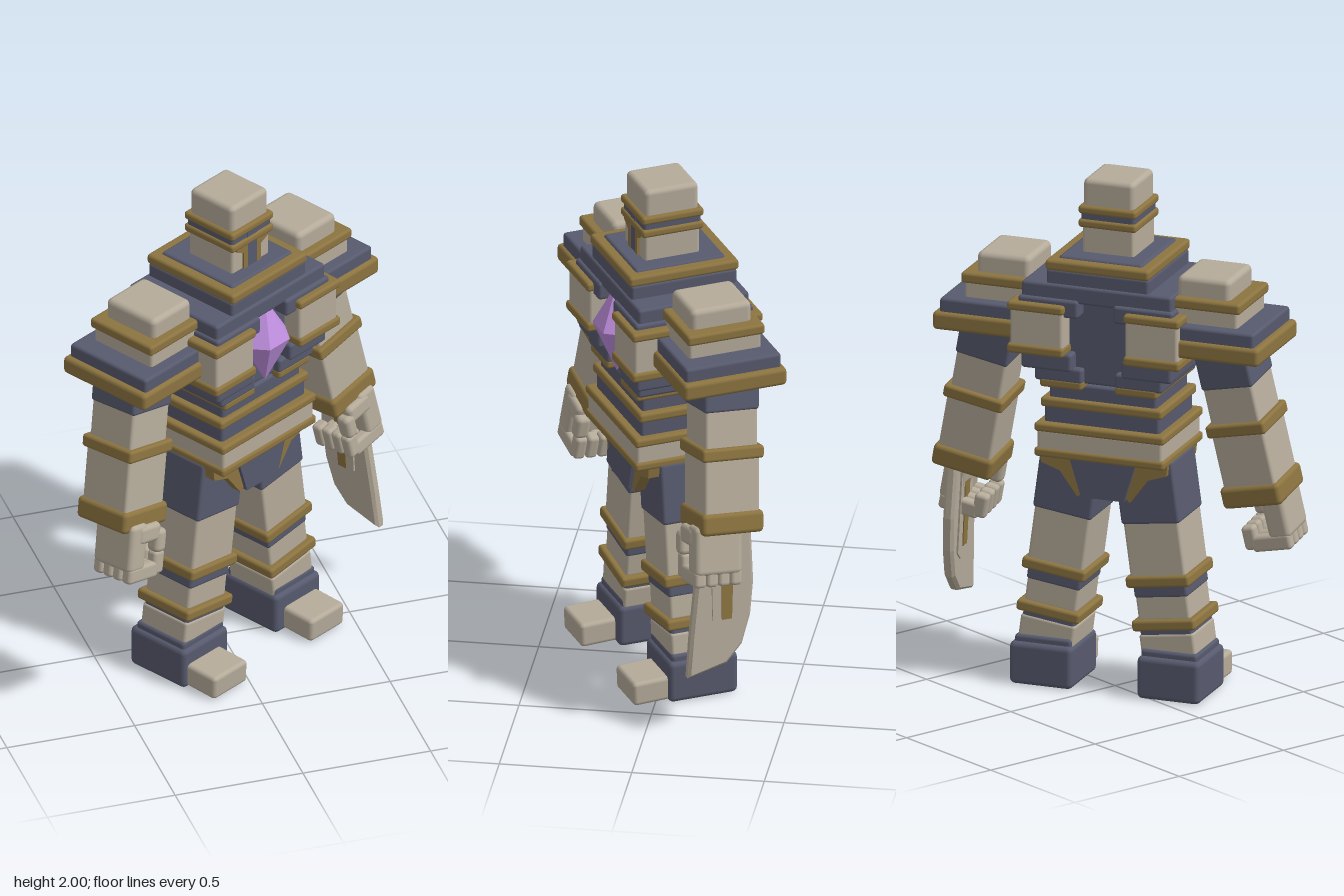
import * as THREE from 'three';
import { RoundedBoxGeometry } from 'three/addons/geometries/RoundedBoxGeometry.js';

function material(name, color) {
  const m = new THREE.MeshStandardMaterial({ color });
  m.name = name;
  return m;
}

export function createModel() {
  const stone = material('pale stone', 0xb5ab9a);
  const slate = material('slate', 0x575a6e);
  const gold = material('dull gold', 0x8c7440);
  const violet = material('violet crystal', 0xc08fdf);

  const model = new THREE.Group();
  model.name = 'stoneGolem';
  const body = new THREE.Group();
  body.name = 'body';
  body.rotation.y = Math.PI / 6;
  model.add(body);

  function add(parent, name, geometry, mat) {
    const mesh = new THREE.Mesh(geometry, mat);
    mesh.name = name;
    parent.add(mesh);
    return mesh;
  }
  // Rounded block given by its ranges; x may be given in either order
  function block(parent, name, mat, [x0, x1], [y0, y1], [z0, z1], r = 0.012) {
    const size = [Math.abs(x1 - x0), y1 - y0, z1 - z0];
    const geo = new RoundedBoxGeometry(...size, 2, Math.min(r, Math.min(...size) * 0.4));
    const mesh = add(parent, name, geo, mat);
    mesh.position.set((x0 + x1) / 2, (y0 + y1) / 2, (z0 + z1) / 2);
    return mesh;
  }
  // Block centred on x and on a given z
  const slab = (parent, name, mat, hx, y, hz, cz = 0, r) =>
    block(parent, name, mat, [-hx, hx], y, [cz - hz, cz + hz], r);
  // Flat outline pushed along z
  function plate(parent, name, mat, points, z0, z1) {
    const shape = new THREE.Shape(points.map(p => new THREE.Vector2(...p)));
    const geo = new THREE.ExtrudeGeometry(shape, { depth: z1 - z0, bevelEnabled: false });
    geo.translate(0, 0, z0);
    return add(parent, name, geo, mat);
  }

  // Head
  const hz = 0.036;
  slab(body, 'face', stone, 0.103, [1.68, 1.83], 0.11, hz);
  slab(body, 'browRecess', slate, 0.108, [1.81, 1.88], 0.115, hz);
  slab(body, 'lowerBrowBand', gold, 0.116, [1.812, 1.845], 0.124, hz);
  slab(body, 'upperBrowBand', gold, 0.116, [1.865, 1.898], 0.124, hz);
  slab(body, 'crown', stone, 0.102, [1.88, 2.0], 0.108, hz, 0.02);
  plate(body, 'visorSlot', slate, [[-0.026, 1.7], [0.026, 1.7], [0.026, 1.87], [-0.026, 1.87]], hz + 0.108, hz + 0.117);
  for (const s of [-1, 1]) {
    plate(body, 'visorTrim', gold,
      [[0.026, 1.705], [0.046, 1.705], [0.046, 1.785], [0.085, 1.805], [0.085, 1.825], [0.026, 1.825]].map(([x, y]) => [x * s, y]),
      hz + 0.11, hz + 0.119);
  }

  // Collar and chest
  const cz = 0.027;
  slab(body, 'neckBase', slate, 0.168, [1.66, 1.715], 0.18, cz);
  slab(body, 'collar', gold, 0.207, [1.665, 1.706], 0.219, cz);
  slab(body, 'upperChest', slate, 0.205, [1.6, 1.67], 0.212, cz);
  slab(body, 'chestStep', slate, 0.3, [1.545, 1.615], 0.222, cz);
  slab(body, 'chestCore', slate, 0.24, [1.22, 1.6], 0.175, cz);
  for (const s of [-1, 1]) {
    const x = (a, b) => [a * s, b * s];
    const z = h => [cz - h, cz + h];
    block(body, 'recessCorner', slate, x(0.07, 0.31), [1.49, 1.56], z(0.236));
    block(body, 'panelTopBand', gold, x(0.12, 0.345), [1.505, 1.54], z(0.262));
    block(body, 'chestPanel', stone, x(0.125, 0.335), [1.36, 1.52], z(0.252));
    block(body, 'panelBottomBand', gold, x(0.12, 0.345), [1.338, 1.376], z(0.262));
    block(body, 'lowerRecessCorner', slate, x(0.1, 0.3), [1.275, 1.345], z(0.228));
    block(body, 'ribStep', slate, x(0.065, 0.255), [1.225, 1.285], z(0.205));
    block(body, 'ribBand', gold, x(0.065, 0.235), [1.2, 1.237], z(0.205));
  }

  // Chest crystal
  const crystal = add(body, 'chestCrystal', new THREE.LatheGeometry(
    [[0, -0.18], [0.11, 0.01], [0, 0.18]].map(p => new THREE.Vector2(...p)), 6).toNonIndexed(), violet);
  crystal.geometry.rotateY(Math.PI / 6);
  crystal.geometry.computeVertexNormals();
  crystal.scale.z = 0.8;
  crystal.rotation.y = Math.PI / 3;
  crystal.rotation.y = 0;
  crystal.position.set(0, 1.407, 0.218);

  // Waist and belt
  const wz = 0.036;
  slab(body, 'abdomen', slate, 0.215, [1.14, 1.21], 0.165, wz);
  slab(body, 'waistBand', gold, 0.243, [1.112, 1.15], 0.185, wz);
  slab(body, 'lowerAbdomen', slate, 0.23, [1.04, 1.125], 0.175, wz);
  slab(body, 'upperBeltBand', gold, 0.26, [1.02, 1.055], 0.208, wz);
  slab(body, 'belt', stone, 0.25, [0.945, 1.03], 0.2, wz);
  slab(body, 'lowerBeltBand', gold, 0.26, [0.922, 0.957], 0.208, wz);

  // Hips
  plate(body, 'pelvis', slate, [[-0.135, 0.93], [-0.085, 0.77], [0.085, 0.77], [0.135, 0.93]], wz - 0.17, wz + 0.17);

  for (const s of [-1, 1]) {
    const side = s > 0 ? 'left' : 'right';
    const x = (a, b) => [a * s, b * s];
    plate(body, side + 'HipTrim', gold,
      [[0.12, 0.93], [0.255, 0.93], [0.25, 0.885], [0.175, 0.86], [0.105, 0.765], [0.08, 0.785]].map(([a, b]) => [a * s, b]),
      wz - 0.155, wz + 0.155);

    // Leg, leaning outward from the hip
    const leg = new THREE.Group();
    leg.name = side + 'Leg';
    leg.position.set(0.148 * s, 0.9, 0.025);
    leg.rotation.z = 0.135 * s;
    body.add(leg);
    slab(leg, 'upperThigh', slate, 0.118, [-0.22, 0.02], 0.122);
    slab(leg, 'thigh', stone, 0.112, [-0.46, -0.2], 0.116);
    slab(leg, 'kneeBand', gold, 0.128, [-0.465, -0.42], 0.132);
    slab(leg, 'kneeRecess', slate, 0.108, [-0.51, -0.45], 0.112);
    slab(leg, 'shin', stone, 0.105, [-0.6, -0.49], 0.108);
    slab(leg, 'shinBand', gold, 0.127, [-0.635, -0.592], 0.13);
    slab(leg, 'shinRecess', slate, 0.105, [-0.665, -0.62], 0.108);
    slab(leg, 'ankle', stone, 0.11, [-0.74, -0.65], 0.112);

    // Foot
    block(body, side + 'Foot', slate, x(0.13, 0.38), [0, 0.165], [-0.12, 0.155], 0.02);
    block(body, side + 'FootCollar', slate, x(0.14, 0.365), [0.15, 0.19], [-0.1, 0.14]);
    block(body, side + 'Toe', stone, x(0.175, 0.36), [0.005, 0.1], [0.12, 0.292], 0.016).rotation.x = 0.04;

    // Stepped shoulder
    block(body, side + 'ShoulderCap', stone, x(0.295, 0.507), [1.56, 1.682], [-0.125, 0.118], 0.022);
    block(body, side + 'ShoulderTopBand', gold, x(0.25, 0.558), [1.563, 1.605], [-0.158, 0.152]);
    block(body, side + 'ShoulderBlock', stone, x(0.25, 0.545), [1.48, 1.575], [-0.148, 0.142]);
    block(body, side + 'ShoulderPlate', slate, x(0.25, 0.628), [1.445, 1.508], [-0.195, 0.188]);
    block(body, side + 'ShoulderRim', gold, x(0.27, 0.652), [1.385, 1.455], [-0.21, 0.203], 0.016);

    // Arm, leaning outward and slightly forward
    const arm = new THREE.Group();
    arm.name = side + 'Arm';
    arm.position.set(0.465 * s, 1.4, -0.02);
    arm.rotation.set(-0.08, 0, 0.2 * s);
    body.add(arm);
    slab(arm, 'upperArm', slate, 0.105, [-0.14, 0.04], 0.11);
    slab(arm, 'bicep', stone, 0.1, [-0.29, -0.125], 0.105);
    slab(arm, 'elbowBand', gold, 0.12, [-0.325, -0.275], 0.124);
    slab(arm, 'forearm', stone, 0.106, [-0.54, -0.31], 0.11);
    slab(arm, 'wristBand', gold, 0.12, [-0.61, -0.525], 0.124, 0, 0.018);

    // Half-closed hand
    const hand = new THREE.Group();
    hand.name = side + 'Hand';
    hand.position.z = 0.045;
    arm.add(hand);
    block(hand, 'palm', stone, x(0, 0.09), [-0.77, -0.58], [-0.095, 0.095], 0.02);
    block(hand, 'thumbBase', stone, x(-0.07, 0.05), [-0.665, -0.59], [0, 0.1], 0.02);
    block(hand, 'thumbTip', stone, x(-0.1, -0.045), [-0.715, -0.62], [0.045, 0.105], 0.02);
    for (let i = 0; i < 4; i++) {
      const z = [-0.095 + i * 0.048, -0.049 + i * 0.048];
      block(hand, 'finger', stone, x(-0.075, 0.085), [-0.815, -0.75], z, 0.015);
      block(hand, 'fingertip', stone, x(-0.105, -0.05), [-0.805, -0.71], z, 0.015);
    }
  }

  // Blade along the outside of the left forearm
  const blade = new THREE.Group();
  blade.name = 'armBlade';
  blade.position.set(0.645, 0.55, 0);
  blade.rotation.z = 0.06;
  body.add(blade);
  function bladePart(name, mat, points, thickness, bevel) {
    const shape = new THREE.Shape(points.map(p => new THREE.Vector2(...p)));
    const geo = new THREE.ExtrudeGeometry(shape, {
      depth: thickness, bevelEnabled: bevel > 0, bevelSize: bevel, bevelThickness: bevel, bevelSegments: 1,
    });
    geo.translate(0, 0, -thickness / 2);
    geo.rotateY(-Math.PI / 2);
    return add(blade, name, geo, mat);
  }
  bladePart('bladeEdge', stone, [[-0.055, 0.28], [-0.06, 0.05], [-0.045, -0.08], [-0.01, -0.19],
    [0.05, -0.255], [0.19, -0.29], [0.175, -0.15], [0.15, 0.05], [0.12, 0.28]], 0.022, 0.011);
  bladePart('bladeRidge', stone, [[-0.02, 0.28], [-0.015, -0.1], [0.02, -0.13], [0.1, -0.08], [0.1, 0.28]], 0.058, 0);
  bladePart('bladeInlay', gold, [[0.012, 0.18], [0.025, -0.08], [0.065, -0.08], [0.06, 0.18]], 0.066, 0);

  return model;
}
